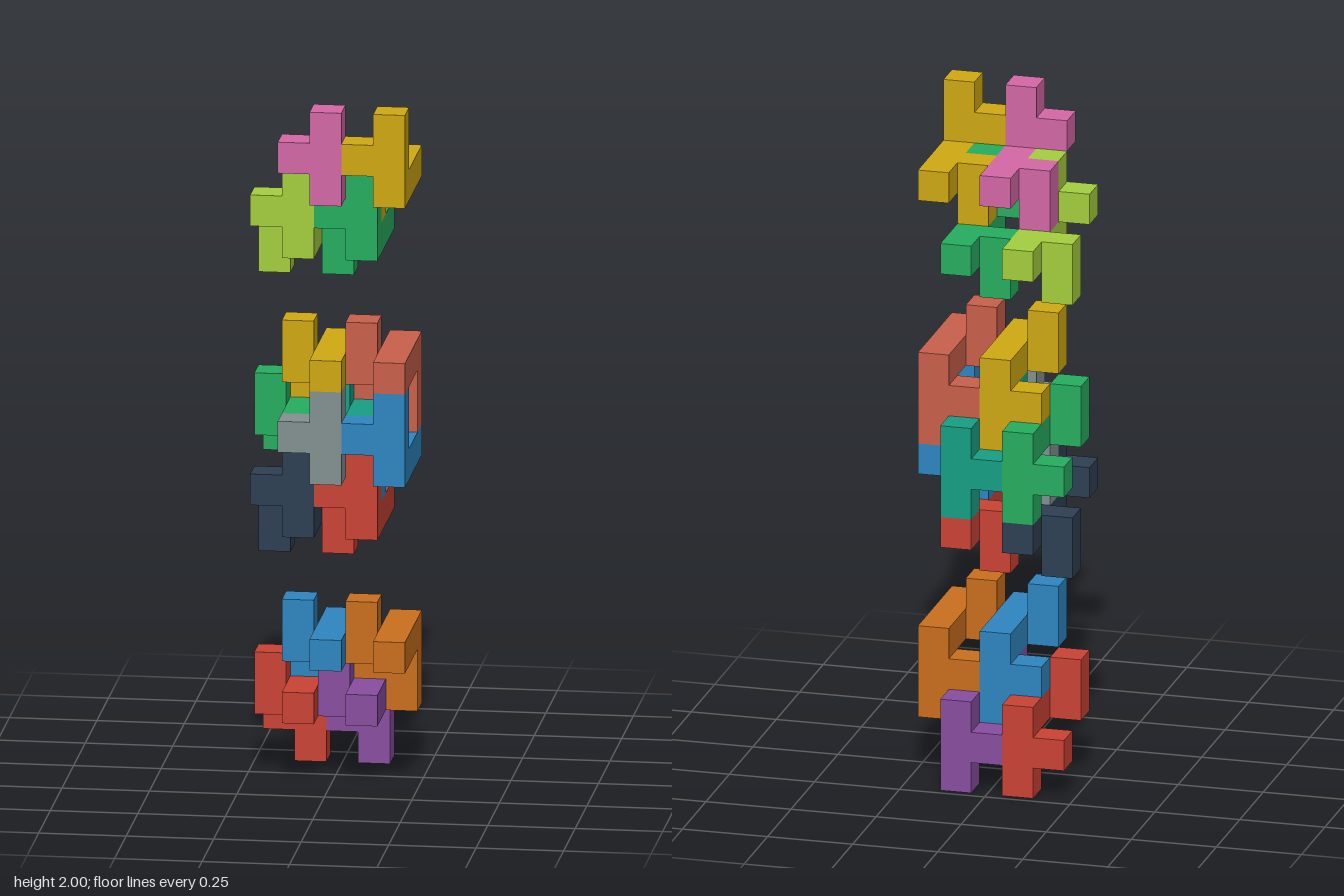
import * as THREE from 'three';
import { mergeGeometries } from 'three/addons/utils/BufferGeometryUtils.js';

const CELL = 2 / 22; // the whole stack is 22 cells tall

// One box, given its centre and size in cells
function block(cx, cy, cz, w, h, d) {
  return new THREE.BoxGeometry(w * CELL, h * CELL, d * CELL)
    .translate(cx * CELL, cy * CELL, cz * CELL);
}

// Puzzle piece with its origin at the bar's corner cell.
// s = 1: post rises from the front end; s = -1: turned half round about x.
function pieceGeometry(s) {
  return mergeGeometries([
    block(0, 0, -1.5 * s, 1, 1, 4),          // long bar
    block(0, 1.5 * s, 0, 1, 2, 1),           // post at the bar's end
    block(-1, s, 0, 1, 1, 1),                // knob on the post
    block(-1, -0.5 * s, -2 * s, 1, 2, 1),    // hook beside the bar
  ]);
}

// Each row: s, corner cell (x, y, z), colour of the right piece and of its twin two cells over
const layers = {
  bottomLayer: [
    [-1, 3, 2, 0, 0x884ea0, 0xcb4335],
    [-1, 4, 4, 1, 0xca6f1e, 0x2e86c1],
  ],
  middleLayer: [
    [1, 3, 8, 3, 0xcb4335, 0x2e4053],
    [1, 4, 10, 4, 0x2e86c1, 0x839192],
    [-1, 3, 11, 0, 0x17a085, 0x27ae60],
    [-1, 4, 13, 1, 0xc9604a, 0xd0a913],
  ],
  topLayer: [
    [1, 3, 17, 3, 0x27ae60, 0xa4cf3e],
    [1, 4, 19, 4, 0xd0a913, 0xd468a6],
  ],
};

export function createModel() {
  const model = new THREE.Group();
  model.name = 'interlockingBlockPuzzle';
  const shapes = { '1': pieceGeometry(1), '-1': pieceGeometry(-1) };

  for (const [name, rows] of Object.entries(layers)) {
    const layer = new THREE.Group();
    layer.name = name;
    for (const [s, x, y, z, ...colors] of rows) {
      colors.forEach((color, i) => {
        const piece = new THREE.Mesh(shapes[s], new THREE.MeshStandardMaterial({ color }));
        piece.name = s > 0 ? 'upturnedPiece' : 'downturnedPiece';
        piece.position.set((x - 2 * i - 2) * CELL, (y + 0.5) * CELL, (z - 2) * CELL);
        layer.add(piece);
      });
    }
    model.add(layer);
  }
  return model;
}
